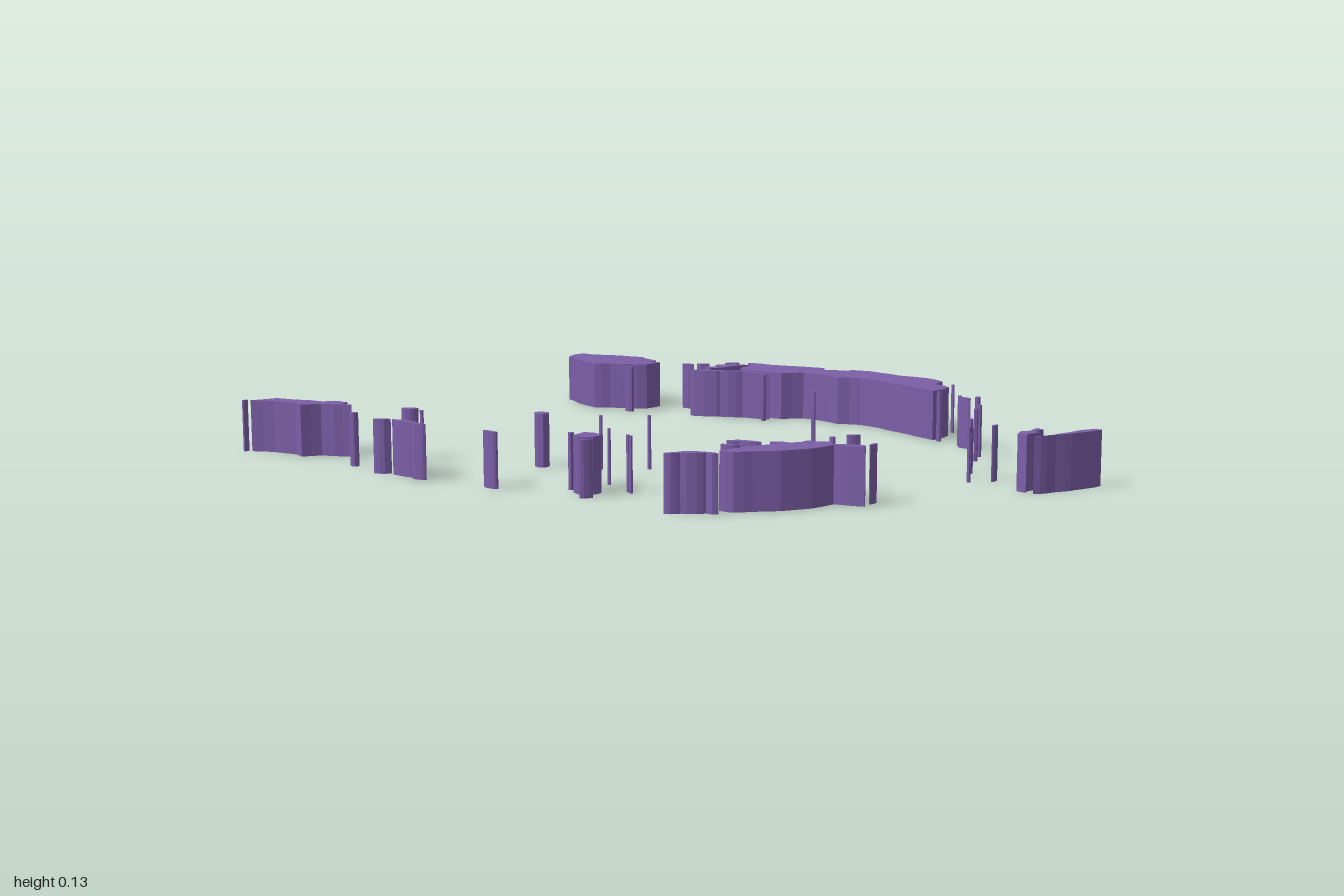
import * as THREE from 'three';

const HEIGHT = 0.13;

// Coastlines as [x, z] points
const ISLANDS = {
  westIsland: [[-.93, -.655], [-.87, -.65], [-.8, -.67], [-.72, -.675], [-.68, -.645], [-.63, -.62], [-.63, -.595],
    [-.595, -.59], [-.6, -.53], [-.65, -.5], [-.7, -.485], [-.74, -.463], [-.8, -.49], [-.85, -.52], [-.91, -.56], [-.928, -.6]],
  mainIsland: [[-.37, -.72], [-.34, -.73], [-.24, -.725], [-.12, -.735], [-.1, -.7], [-.035, -.715], [-.03, -.74],
    [.02, -.745], [.07, -.725], [.14, -.7], [.24, -.69], [.3, -.65], [.31, -.59], [.37, -.55], [.37, -.46], [.3, -.495],
    [.23, -.53], [.16, -.565], [.08, -.59], [.02, -.57], [-.05, -.6], [-.115, -.61], [-.16, -.565], [-.24, -.575],
    [-.29, -.565], [-.32, -.6], [-.33, -.665]],
  channelIsland: [[-.39, -.675], [-.345, -.68], [-.365, -.64], [-.37, -.595], [-.39, -.55], [-.42, -.565], [-.4, -.605], [-.425, -.63]],
  southWestIsland: [[-.98, .65], [-.955, .585], [-.9, .58], [-.815, .565], [-.785, .537], [-.75, .543], [-.745, .565],
    [-.71, .57], [-.75, .59], [-.785, .6], [-.815, .64], [-.85, .623], [-.92, .628]],
  southEastIsland: [[.565, .415], [.59, .44], [.655, .415], [.67, .44], [.6, .452], [.585, .52], [.545, .58], [.5, .62],
    [.47, .65], [.435, .65], [.445, .61], [.465, .55], [.49, .5], [.52, .455]],
  eastSpit: [[.995, -.075], [.975, -.07], [.955, -.03], [.945, .02], [.91, .105], [.93, .08], [.955, .035], [.968, .005], [.988, -.04]],
  eastIsland: [[.865, -.015], [.885, 0], [.875, .025], [.895, .04], [.885, .075], [.89, .1], [.863, .09], [.853, .05], [.868, .03]],
  southIsland: [[.04, .605], [.07, .6], [.1, .62], [.1, .65], [.07, .665], [.045, .65]],
};

// Islets as [x, z, length, width, turn]
const NORTH_ISLETS = [
  [-.61, -.46, .03, .02, 0], [-.505, -.605, .04, .015, 0], [-.47, -.635, .04, .02, -.4], [-.41, -.695, .05, .02, -.6],
  [-.36, -.51, .11, .03, -.4], [-.3, -.53, .08, .03, -.4], [-.23, -.54, .09, .02, 0], [-.185, -.51, .015, .015, 0],
  [.12, -.27, .015, .01, 0], [.39, -.455, .015, .01, 0], [.355, -.605, .01, .006, 0], [.47, -.415, .012, .01, 0],
  [.495, -.39, .04, .012, .3], [.52, -.415, .03, .015, 1.3], [.585, -.29, .02, .012, .8], [.608, -.225, .015, .01, 1.5],
  [.675, -.06, .015, .012, 0], [.725, .05, .01, .01, 0], [.765, 0, .03, .012, 1.5],
];
const SOUTH_ISLETS = [
  [.565, .305, .03, .015, -.7], [.54, .355, .015, .01, 0], [.665, .395, .03, .01, 1.5], [.53, .45, .05, .02, 1.5],
  [.48, .485, .04, .02, -.3], [.415, .51, .07, .02, -.1], [.385, .525, .03, .02, 0], [.41, .57, .05, .015, -.3],
  [.4, .7, .07, .028, -.5], [.37, .728, .04, .015, -.7], [.44, .685, .03, .015, 0], [.01, .31, .01, .008, 0],
  [-.085, .375, .01, .008, 0], [-.23, .42, .045, .035, .2], [.055, .53, .01, .008, 0], [.145, .58, .012, .008, 0],
  [.16, .59, .01, .008, 0], [.02, .625, .015, .015, 0], [.11, .69, .03, .01, -.8], [-.145, .71, .05, .015, .2],
  [-.48, .705, .04, .015, -.5], [-.41, .7, .09, .022, .1], [-.355, .715, .04, .015, 0], [-.61, .665, .025, .02, .3],
  [-.55, .535, .045, .025, -.4], [-.5, .545, .012, .008, 0], [-.995, .655, .01, .018, 0],
];

export function createModel() {
  const model = new THREE.Group();
  model.name = 'archipelago';
  const purple = new THREE.MeshStandardMaterial({ name: 'purple', color: 0x7b5ea7 });

  let seed = 7;
  const random = () => (seed = (seed * 16807) % 2147483647) / 2147483647;

  // Raise a flat outline into a straight-sided slab
  function addSlab(name, outline) {
    const shape = new THREE.Shape(outline.map(([x, z]) => new THREE.Vector2(x, -z)));
    const geometry = new THREE.ExtrudeGeometry(shape, { depth: HEIGHT, bevelEnabled: false });
    geometry.rotateX(-Math.PI / 2);
    const mesh = new THREE.Mesh(geometry, purple);
    mesh.name = name;
    model.add(mesh);
  }

  // Islands: add a slightly ragged point in the middle of every coast segment
  for (const [name, points] of Object.entries(ISLANDS)) {
    const coast = points.flatMap(([x, z], i) => {
      const [nx, nz] = points[(i + 1) % points.length];
      const push = (random() - 0.5) * 0.16;
      return [[x, z], [(x + nx) / 2 + (nz - z) * push, (z + nz) / 2 - (nx - x) * push]];
    });
    addSlab(name, coast);
  }

  // Islets: small uneven ovals
  [...NORTH_ISLETS, ...SOUTH_ISLETS].forEach(([x, z, length, width, turn], n) => {
    const sides = length > 0.02 ? 10 : 6;
    const outline = [];
    for (let i = 0; i < sides; i++) {
      const a = (i / sides) * Math.PI * 2;
      const r = 0.42 + random() * 0.13;
      const u = Math.cos(a) * length * r, v = Math.sin(a) * width * r;
      outline.push([x + u * Math.cos(turn) - v * Math.sin(turn), z + u * Math.sin(turn) + v * Math.cos(turn)]);
    }
    addSlab(`islet${n + 1}`, outline);
  });

  return model;
}
